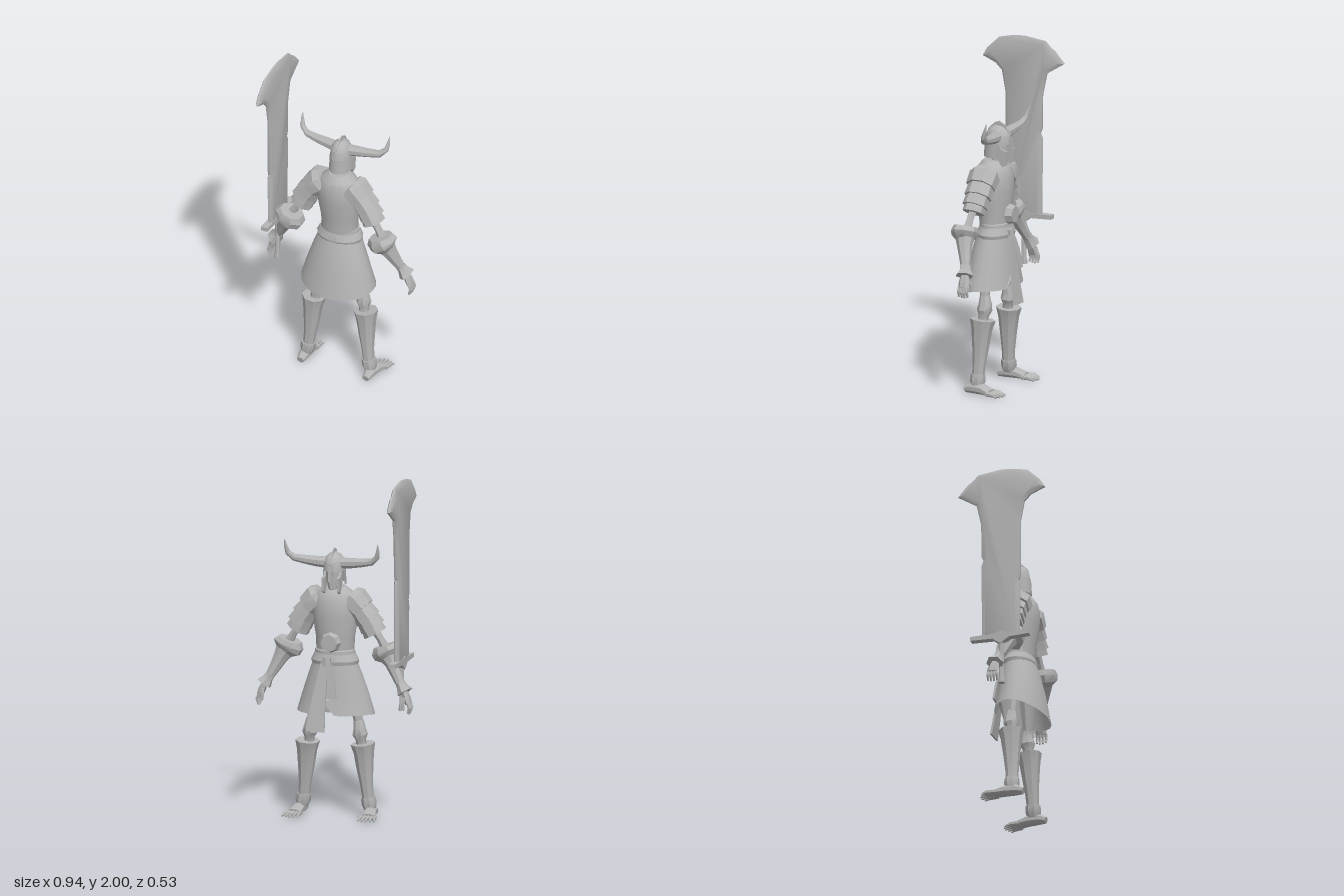
import * as THREE from 'three';
import { toCreasedNormals } from 'three/addons/utils/BufferGeometryUtils.js';

const steel = new THREE.MeshStandardMaterial({ color: 0xb4b4b4, side: THREE.DoubleSide });
steel.name = 'plain grey';

function add(parent, name, geometry) {
  const mesh = new THREE.Mesh(toCreasedNormals(geometry, 0.55), steel);
  mesh.name = name;
  parent.add(mesh);
  return mesh;
}

// Loft of elliptical rings along a path; each ring is [x, y, z, halfWidth, halfDepth]
function loft(rings, sides = 8, capped = true) {
  const P = rings.map(r => new THREE.Vector3(r[0], r[1], r[2]));
  const pos = [], index = [], grow = sides === 4 ? Math.SQRT2 : 1;
  rings.forEach((r, i) => {
    const t = P[Math.min(i + 1, P.length - 1)].clone().sub(P[Math.max(i - 1, 0)]).normalize();
    const v = Math.abs(t.z) > 0.85 ? new THREE.Vector3(0, 1, 0) : new THREE.Vector3(0, 0, 1);
    v.addScaledVector(t, -v.dot(t)).normalize();
    const u = v.clone().cross(t);
    for (let j = 0; j < sides; j++) {
      const a = (j + 0.5) / sides * Math.PI * 2;
      const p = P[i].clone().addScaledVector(u, Math.cos(a) * r[3] * grow)
        .addScaledVector(v, Math.sin(a) * (r[4] ?? r[3]) * grow);
      pos.push(p.x, p.y, p.z);
      const k = (j + 1) % sides, b = i * sides;
      if (i < rings.length - 1) index.push(b + j, b + k, b + sides + k, b + j, b + sides + k, b + sides + j);
    }
  });
  if (capped) {
    const n = rings.length * sides, last = n - sides;
    pos.push(...P[0].toArray(), ...P[P.length - 1].toArray());
    for (let j = 0; j < sides; j++) {
      const k = (j + 1) % sides;
      index.push(n, k, j, n + 1, last + j, last + k);
    }
  }
  const g = new THREE.BufferGeometry();
  g.setAttribute('position', new THREE.Float32BufferAttribute(pos, 3));
  g.setIndex(index);
  return g;
}

// Outline in (z, y) given a thickness along x
function slab(points, x, depth, bevel, bevelThickness) {
  const shape = new THREE.Shape(points.map(p => new THREE.Vector2(p[0], p[1])));
  const g = new THREE.ExtrudeGeometry(shape, {
    depth, bevelEnabled: bevel > 0, bevelSize: bevel, bevelOffset: -bevel, bevelThickness, bevelSegments: 1 });
  return g.translate(0, 0, -depth / 2).rotateY(-Math.PI / 2).translate(x, 0, 0);
}

function addTorso(root) {
  add(root, 'breastplate', loft([[0, 0.97, -0.015, 0.112, 0.085], [0, 1.06, -0.015, 0.115, 0.092],
    [0, 1.18, -0.012, 0.135, 0.108], [0, 1.27, -0.008, 0.135, 0.105], [0, 1.32, -0.005, 0.11, 0.09],
    [0, 1.355, -0.005, 0.06, 0.06]], 16));
  add(root, 'neck', loft([[0, 1.32, -0.02, 0.032], [0, 1.42, -0.035, 0.028]], 8));
  add(root, 'waistBelt', loft([[0, 0.94, -0.02, 0.122, 0.09], [0, 0.985, -0.02, 0.118, 0.088],
    [0, 0.99, -0.02, 0.11, 0.08]], 16));
  add(root, 'lowerBelt', loft([[0, 0.905, -0.02, 0.137, 0.1], [0, 0.925, -0.02, 0.142, 0.105],
    [0, 0.965, -0.02, 0.122, 0.092]], 16));
  const disc = add(root, 'bellyDisc', new THREE.CylinderGeometry(0.05, 0.062, 0.04, 8));
  disc.rotation.x = -Math.PI / 2;
  disc.position.set(0, 1.04, -0.125);

  // Flared skirt, hem dipping at the back and slit at the front
  const skirt = loft([[0, 0.93, -0.02, 0.126, 0.094], [0, 0.84, -0.012, 0.16, 0.115],
    [0, 0.72, -0.004, 0.2, 0.135], [0, 0.6, 0, 0.232, 0.157]], 20, false);
  const p = skirt.attributes.position;
  for (let i = 0; i < p.count; i++) {
    if (p.getY(i) > 0.65) continue;
    const x = p.getX(i), z = p.getZ(i);
    p.setY(i, z > 0 ? 0.615 - 0.05 * z / 0.157 : 0.615 + (x > 0 && x < 0.08 && z < -0.1 ? 0.08 : 0));
  }
  add(root, 'skirt', skirt);

  // Knotted sash
  add(root, 'sashKnot', loft([[0.02, 0.955, -0.125, 0.03, 0.016], [0.02, 0.9, -0.13, 0.024, 0.016]], 6));
  add(root, 'longSash', loft([[0.03, 0.92, -0.13, 0.022, 0.006], [0.045, 0.78, -0.155, 0.034, 0.006],
    [0.06, 0.64, -0.178, 0.047, 0.006], [0.065, 0.525, -0.198, 0.055, 0.006]], 4));
  add(root, 'shortSash', loft([[0.01, 0.92, -0.132, 0.014, 0.006], [-0.015, 0.82, -0.15, 0.022, 0.006],
    [-0.025, 0.715, -0.163, 0.026, 0.006]], 4));
}

function addHead(root) {
  const head = new THREE.Group();
  head.name = 'hornedHead';
  root.add(head);
  add(head, 'helmetDome', loft([[0, 1.46, -0.034, 0.064, 0.08], [0, 1.51, -0.036, 0.06, 0.074],
    [0, 1.54, -0.038, 0.045, 0.056], [0, 1.56, -0.04, 0.018, 0.024]], 14));
  add(head, 'skull', loft([[0, 1.345, -0.07, 0.022, 0.026], [0, 1.39, -0.055, 0.04, 0.045],
    [0, 1.47, -0.035, 0.05, 0.066]], 8));
  // Neck guard wraps the rear half
  const guard = new THREE.CylinderGeometry(0.064, 0.068, 0.09, 12, 1, true, -1.75, 3.5);
  add(head, 'neckGuard', guard.scale(1, 1, 1.28).translate(0, 1.42, -0.034));
  add(head, 'crest', slab([[0.045, 1.47], [0.03, 1.535], [-0.01, 1.575], [-0.04, 1.587], [-0.08, 1.565],
    [-0.115, 1.5], [-0.1, 1.47]], 0, 0.008, 0));
  add(head, 'noseGuard', loft([[0, 1.49, -0.112, 0.012, 0.008], [0, 1.4, -0.122, 0.01, 0.006]], 4));
  for (const s of [1, -1]) {
    add(head, 'cheekGuard', slab([[-0.03, 1.465], [-0.06, 1.465], [-0.075, 1.43], [-0.115, 1.42],
      [-0.113, 1.34], [-0.085, 1.325], [-0.045, 1.385]], s * 0.046, 0.014, 0));
    add(head, 'horn', loft([[s * 0.045, 1.5, -0.045, 0.034], [s * 0.1, 1.503, -0.052, 0.031],
      [s * 0.17, 1.51, -0.056, 0.026], [s * 0.235, 1.52, -0.062, 0.021], [s * 0.27, 1.55, -0.075, 0.016],
      [s * 0.279, 1.59, -0.088, 0.01], [s * 0.283, 1.635, -0.098, 0.001]], 8));
  }
}

function addArm(root, s) {
  const arm = new THREE.Group();
  arm.name = s > 0 ? 'leftArm' : 'rightArm';
  root.add(arm);
  const part = (name, rings, sides, capped) =>
    add(arm, name, loft(rings.map(r => [s * r[0], ...r.slice(1)]), sides, capped));
  // Overlapping shoulder plates
  part('shoulderPlate', [[0.085, 1.295, 0, 0.07, 0.078], [0.105, 1.28, 0, 0.088, 0.093],
    [0.16, 1.225, 0, 0.078, 0.09]], 8);
  part('middlePlate', [[0.145, 1.235, 0, 0.068, 0.078], [0.195, 1.17, 0, 0.077, 0.083]], 8);
  part('lowerPlate', [[0.18, 1.185, 0.003, 0.066, 0.068], [0.222, 1.12, 0.005, 0.078, 0.076]], 8);
  part('sleeve', [[0.2, 1.15, 0.005, 0.06, 0.06], [0.235, 1.085, 0.008, 0.072, 0.066]], 8);
  part('upperArm', [[0.2, 1.15, 0.008, 0.026], [0.265, 1.05, 0.015, 0.022], [0.31, 0.97, 0.02, 0.032]], 6);
  // Flared gauntlet down to the wrist cuff
  part('elbowFlange', [[0.288, 1.015, 0.03, 0.072, 0.07], [0.298, 0.985, 0.03, 0.094, 0.08],
    [0.308, 0.963, 0.028, 0.09, 0.076], [0.325, 0.94, 0.02, 0.055, 0.05]], 8);
  part('gauntlet', [[0.308, 0.965, 0.025, 0.065, 0.06], [0.34, 0.91, 0.012, 0.044, 0.045],
    [0.37, 0.85, -0.006, 0.034, 0.035], [0.397, 0.8, -0.022, 0.027, 0.028]], 8);
  part('cuff', [[0.393, 0.81, -0.02, 0.03, 0.032], [0.405, 0.79, -0.024, 0.031, 0.033],
    [0.428, 0.757, -0.03, 0.048, 0.055]], 6);
  part('palm', [[0.42, 0.77, -0.03, 0.018, 0.022], [0.44, 0.72, -0.034, 0.022, 0.034],
    [0.45, 0.69, -0.036, 0.018, 0.034]], 6);
  for (let i = 0; i < 4; i++) {
    const z = -0.062 + i * 0.018, d = Math.abs(i - 1.5) * 0.006;
    part('finger', [[0.452, 0.695, z, 0.009], [0.462, 0.66 + d, z, 0.009], [0.452, 0.628 + d, z, 0.006]], 5);
  }
  part('thumb', [[0.432, 0.73, -0.06, 0.011], [0.424, 0.695, -0.074, 0.009], [0.424, 0.665, -0.074, 0.006]], 5);
}

function addLeg(root, s) {
  const leg = new THREE.Group();
  leg.name = s > 0 ? 'leftLeg' : 'rightLeg';
  root.add(leg);
  const part = (name, rings, sides) => add(leg, name, loft(rings.map(r => [s * r[0], ...r.slice(1)]), sides));
  part('thigh', [[0.085, 0.88, -0.01, 0.05], [0.12, 0.7, -0.015, 0.04], [0.143, 0.55, -0.018, 0.026]], 7);
  part('knee', [[0.143, 0.57, -0.02, 0.03], [0.15, 0.525, -0.025, 0.035, 0.04], [0.152, 0.49, -0.022, 0.045],
    [0.156, 0.455, -0.018, 0.03], [0.158, 0.42, -0.015, 0.03]], 8);
  part('greave', [[0.167, 0.435, -0.018, 0.072, 0.076], [0.172, 0.38, -0.014, 0.059, 0.062],
    [0.178, 0.28, -0.01, 0.048, 0.05], [0.187, 0.18, -0.005, 0.036, 0.04], [0.195, 0.1, -0.002, 0.034, 0.036]], 8);
  part('ankleGuard', [[0.195, 0.115, -0.002, 0.042, 0.044], [0.2, 0.08, -0.002, 0.045, 0.046],
    [0.206, 0.045, 0, 0.034, 0.038]], 8);
  part('foot', [[0.212, 0.022, 0.072, 0.022, 0.02], [0.212, 0.033, 0.03, 0.032, 0.032],
    [0.217, 0.033, -0.04, 0.038, 0.032], [0.225, 0.02, -0.1, 0.046, 0.019]], 8);
  for (let i = 0; i < 5; i++) {
    const x = 0.189 + i * 0.018, tip = x + (i - 2) * 0.006 + 0.006, z = -0.19 + Math.abs(i - 1.5) * 0.012;
    part('toe', [[x, 0.018, -0.085, 0.011, 0.014], [(x + tip) / 2, 0.017, -0.135, 0.011, 0.013],
      [tip, 0.006, z, 0.003, 0.005]], 6);
  }
}

function addSword(root) {
  const sword = new THREE.Group();
  sword.name = 'greatsword';
  root.add(sword);
  const x = -0.397;
  // Bevelled blade with a flared, chipped head
  add(sword, 'blade', slab([[0.11, 0.93], [0.115, 1.25], [0.105, 1.28], [0.116, 1.31], [0.118, 1.66], [0.14, 1.78],
    [0.18, 1.82], [0.265, 1.855], [0.235, 1.905], [0.16, 1.975], [0.08, 1.993], [0, 2], [-0.14, 1.982],
    [-0.175, 1.945], [-0.2, 1.93], [-0.262, 1.86], [-0.15, 1.79], [-0.122, 1.66], [-0.12, 1.46], [-0.108, 1.43],
    [-0.12, 1.4], [-0.117, 0.93]], x, 0.012, 0.022, 0.011));
  add(sword, 'crossguard', slab([[0.17, 0.925], [0.17, 0.95], [0.05, 0.95], [0, 0.965], [-0.05, 0.95],
    [-0.185, 0.95], [-0.185, 0.925], [-0.05, 0.92], [0, 0.885], [0.05, 0.92]], x, 0.042, 0));
  add(sword, 'grip', loft([[x, 0.64, 0, 0.017, 0.02], [x, 0.66, 0, 0.017, 0.02], [x, 0.68, 0, 0.013, 0.015],
    [x, 0.9, 0, 0.014, 0.016]], 8));
}

export function createModel() {
  const root = new THREE.Group();
  root.name = 'hornedWarrior';
  addTorso(root);
  addHead(root);
  for (const s of [1, -1]) {
    addArm(root, s);
    addLeg(root, s);
  }
  addSword(root);
  return root;
}
